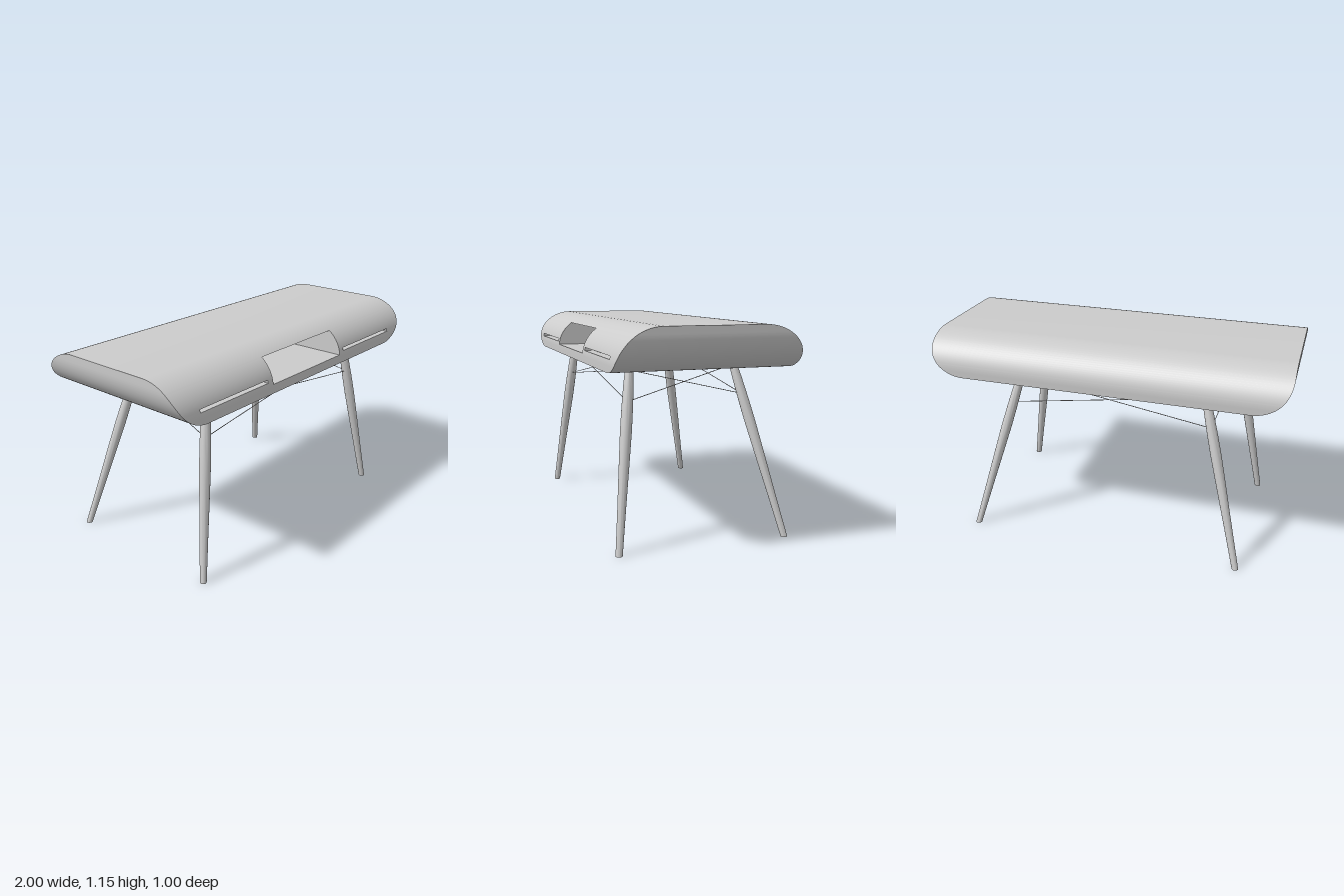
import * as THREE from 'three';
import { toCreasedNormals } from 'three/addons/utils/BufferGeometryUtils.js';

const BOTTOM = 0.925, TOP = 1.15, RY = 0.19, MID_Z = 0.025;
const material = new THREE.MeshStandardMaterial({ color: 0xcccccc, side: THREE.DoubleSide });

// Openings in the curved front: x range, y range, z of the back wall
const openings = [
  { name: 'storageRecess', x0: -0.31, x1: 0.305, y0: 0.975, y1: 1.105, back: -0.35 },
  { name: 'rightSlot', x0: -0.85, x1: -0.35, y0: 0.992, y1: 1.008, back: 0.45 },
  { name: 'leftSlot', x0: 0.345, x1: 0.84, y0: 0.992, y1: 1.008, back: 0.45 },
];

const arc = (t) => Math.sqrt(Math.max(0, 1 - Math.max(0, t) ** 2));
// Half depth shrinks towards the top, half width shrinks towards the bottom
const halfZ = (y) => 0.255 + 0.22 * arc((y - (TOP - RY)) / RY);
const halfX = (y) => 0.8 + 0.2 * arc((BOTTOM + RY - y) / RY);
const frontZ = (y) => MID_Z + halfZ(y);
const backZ = (y) => MID_Z - halfZ(y);

// Collects four-cornered faces, corners counter-clockwise from outside
function faceBuilder() {
  const positions = [];
  return {
    quad(a, b, c, d) {
      positions.push(...a, ...b, ...c, ...a, ...c, ...d);
    },
    mesh(name, crease = 0.5) {
      const geometry = new THREE.BufferGeometry();
      geometry.setAttribute('position', new THREE.Float32BufferAttribute(positions, 3));
      const mesh = new THREE.Mesh(toCreasedNormals(geometry, crease), material);
      mesh.name = name;
      return mesh;
    },
  };
}

// Height levels, denser near the top and bottom, plus the edges of the openings
function bodyLevels() {
  const n = 36;
  const levels = Array.from({ length: n + 1 }, (_, i) =>
    BOTTOM + (TOP - BOTTOM) * (1 - Math.cos((Math.PI * i) / n)) / 2);
  for (const o of openings) levels.push(o.y0, o.y1);
  return [...new Set(levels)].sort((a, b) => a - b);
}

// Shell: two crossing rounded profiles, front wall pierced by the openings
function makeBody(levels) {
  const f = faceBuilder();
  const breaks = [-2, 2, ...openings.flatMap((o) => [o.x0, o.x1])].sort((a, b) => a - b);
  for (let i = 0; i < levels.length - 1; i++) {
    const a = levels[i], b = levels[i + 1];
    const xa = halfX(a), xb = halfX(b);
    const fa = frontZ(a), fb = frontZ(b), ba = backZ(a), bb = backZ(b);
    f.quad([xa, a, ba], [-xa, a, ba], [-xb, b, bb], [xb, b, bb]);
    f.quad([xa, a, fa], [xa, a, ba], [xb, b, bb], [xb, b, fb]);
    f.quad([-xa, a, ba], [-xa, a, fa], [-xb, b, fb], [-xb, b, bb]);
    for (let j = 0; j < breaks.length - 1; j++) {
      const xm = (breaks[j] + breaks[j + 1]) / 2, ym = (a + b) / 2;
      const inEnd = j === 0 || j === breaks.length - 2;
      if (!inEnd && openings.some((o) => xm > o.x0 && xm < o.x1 && ym > o.y0 && ym < o.y1)) continue;
      const at = (x, h) => Math.max(-h, Math.min(h, x));
      const l = breaks[j], r = breaks[j + 1];
      f.quad([at(l, xa), a, fa], [at(r, xa), a, fa], [at(r, xb), b, fb], [at(l, xb), b, fb]);
    }
  }
  const cap = (y, up) => {
    const x = halfX(y), p = [[-x, y, frontZ(y)], [x, y, frontZ(y)], [x, y, backZ(y)], [-x, y, backZ(y)]];
    f.quad(...(up ? p : p.reverse()));
  };
  cap(TOP, true);
  cap(BOTTOM, false);
  return f.mesh('deskBody');
}

// Lining of one opening, its side walls following the curved front
function makePocket({ name, x0, x1, y0, y1, back }, levels) {
  const f = faceBuilder();
  const z0 = frontZ(y0), z1 = frontZ(y1);
  const rows = levels.filter((y) => y >= y0 && y <= y1);
  for (let i = 0; i < rows.length - 1; i++) {
    const a = rows[i], b = rows[i + 1], za = frontZ(a), zb = frontZ(b);
    const ka = Math.min(back, za), kb = Math.min(back, zb);
    f.quad([x0, a, za], [x0, a, ka], [x0, b, kb], [x0, b, zb]);
    f.quad([x1, a, ka], [x1, a, za], [x1, b, zb], [x1, b, kb]);
  }
  f.quad([x0, y0, z0], [x1, y0, z0], [x1, y0, back], [x0, y0, back]);
  f.quad([x0, y1, back], [x1, y1, back], [x1, y1, z1], [x0, y1, z1]);
  f.quad([x0, y0, back], [x1, y0, back], [x1, y1, back], [x0, y1, back]);
  return f.mesh(name);
}

// Tapered, slightly swollen leg, leaned so both ends stay level
function makeLeg(name, foot, head) {
  const profile = [[0, 0], [0.018, 0], [0.022, 0.25], [0.027, 0.5], [0.03, 0.67],
    [0.029, 0.8], [0.026, 0.92], [0.022, 1], [0, 1]].map(([r, t]) => new THREE.Vector2(r, t));
  const lean = new THREE.Matrix4().makeBasis(
    new THREE.Vector3(1, 0, 0), head.clone().sub(foot), new THREE.Vector3(0, 0, 1)).setPosition(foot);
  const geometry = new THREE.LatheGeometry(profile, 24).applyMatrix4(lean);
  const mesh = new THREE.Mesh(toCreasedNormals(geometry, 0.6), material);
  mesh.name = name;
  return mesh;
}

function makeWire(a, b) {
  const geometry = new THREE.TubeGeometry(new THREE.LineCurve3(a, b), 1, 0.002, 6);
  const mesh = new THREE.Mesh(geometry, material);
  mesh.name = 'braceWire';
  return mesh;
}

export function createModel() {
  const model = new THREE.Group();
  model.name = 'writingDesk';
  const levels = bodyLevels();
  model.add(makeBody(levels));
  for (const o of openings) model.add(makePocket(o, levels));

  // Legs in order around the desk
  const cx = -0.015;
  const legs = [
    ['frontLeftLeg', 1, 0.62, 0.33, 0.437],
    ['frontRightLeg', -1, 0.62, 0.33, 0.437],
    ['backRightLeg', -1, 0.532, -0.28, -0.485],
    ['backLeftLeg', 1, 0.532, -0.28, -0.485],
  ].map(([name, side, headX, headZ, footZ]) => ({
    name,
    foot: new THREE.Vector3(cx + side * 0.78, 0, footZ),
    head: new THREE.Vector3(cx + side * headX, 0.916, headZ),
  }));
  for (const { name, foot, head } of legs) model.add(makeLeg(name, foot, head));

  // Crossed bracing wires between neighbouring legs
  const braces = new THREE.Group();
  braces.name = 'bracing';
  const on = (leg, t) => leg.foot.clone().lerp(leg.head, t);
  legs.forEach((leg, i) => {
    const next = legs[(i + 1) % legs.length];
    braces.add(makeWire(on(leg, 0.995), on(next, 0.825)));
    braces.add(makeWire(on(leg, 0.825), on(next, 0.995)));
  });
  model.add(braces);
  return model;
}
